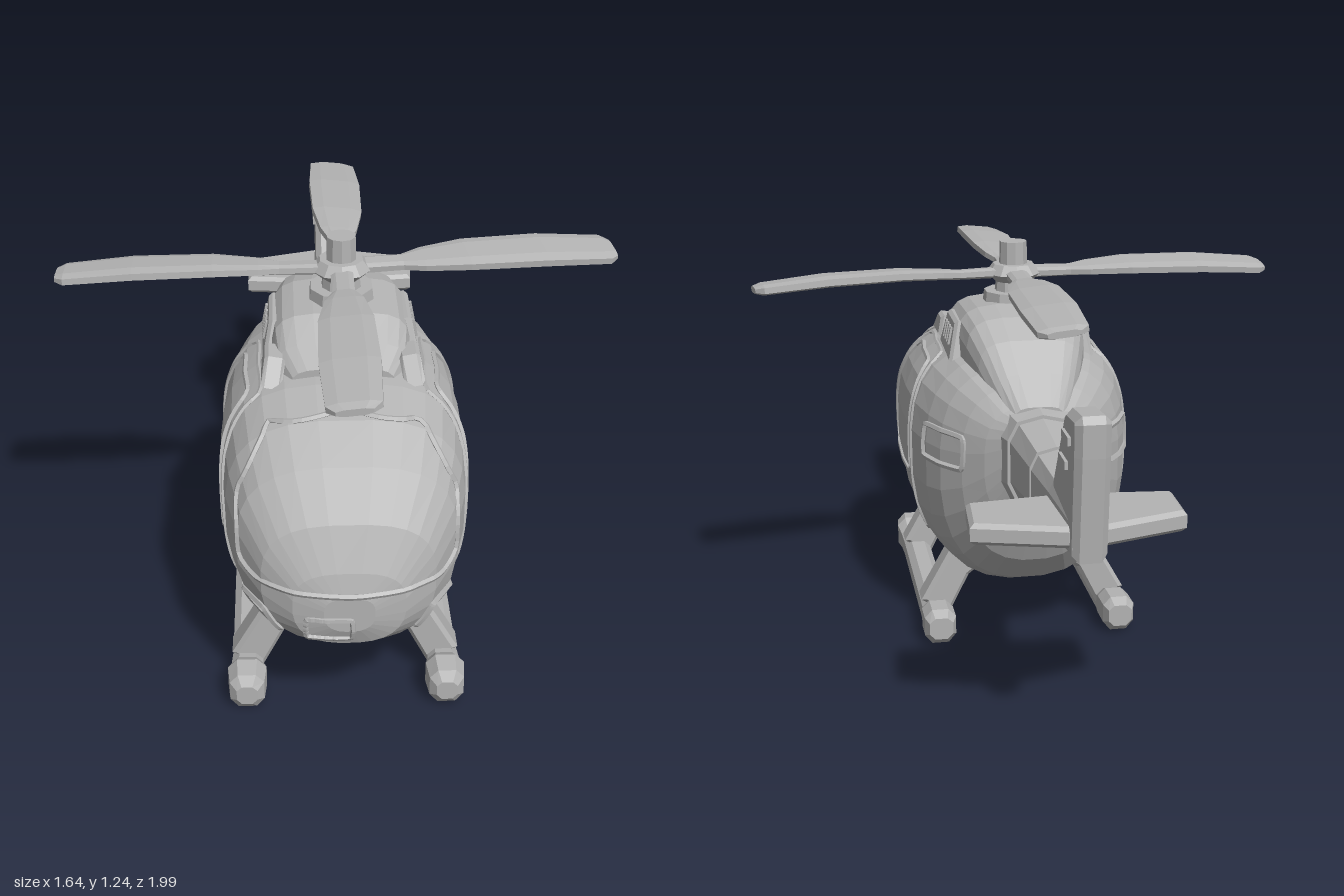
import * as THREE from 'three';

const grey = new THREE.MeshStandardMaterial({ color: 0xb4b4b4, flatShading: true });
grey.name = 'grey';

const N_UP = 2.9, N_LOW = 2.45;

// Closed loft along z. Each section: [z, bottom y, top y, half width], front to back.
function loft(sections, sides, nUp = N_UP, nLow = N_LOW) {
  const pos = [], idx = [];
  for (const [z, yb, yt, hw] of sections) {
    const ym = yb + (yt - yb) * 0.53;
    for (let j = 0; j < sides; j++) {
      const a = ((j + 0.5) / sides) * Math.PI * 2, c = Math.cos(a), s = Math.sin(a);
      const n = s > 0 ? nUp : nLow, h = s > 0 ? yt - ym : ym - yb;
      pos.push(hw * Math.sign(c) * Math.abs(c) ** (2 / n), ym + h * Math.sign(s) * Math.abs(s) ** (2 / n), z);
    }
  }
  const last = sections.length - 1, front = sections.length * sides;
  for (const k of [0, last]) {
    const [z, yb, yt] = sections[k];
    pos.push(0, (yb + yt) / 2, z);
  }
  for (let j = 0; j < sides; j++) {
    const k = (j + 1) % sides;
    for (let i = 0; i < last; i++) {
      const a = i * sides + j, b = i * sides + k;
      idx.push(a, a + sides, b, b, a + sides, b + sides);
    }
    idx.push(front, j, k, front + 1, last * sides + k, last * sides + j);
  }
  const g = new THREE.BufferGeometry();
  g.setAttribute('position', new THREE.Float32BufferAttribute(pos, 3));
  g.setIndex(idx);
  g.computeVertexNormals();
  return g;
}

// Flat outline with softened edges, centred on its thickness.
function slab(points, depth, bevel) {
  const g = new THREE.ExtrudeGeometry(new THREE.Shape(points.map(p => new THREE.Vector2(...p))), {
    depth: depth - 2 * bevel, bevelThickness: bevel, bevelSize: bevel, bevelOffset: -bevel, bevelSegments: 1,
  });
  return g.translate(0, 0, bevel - depth / 2);
}

const BODY = [
  [0.905, 0.39, 0.5, 0.07], [0.885, 0.335, 0.57, 0.155], [0.83, 0.295, 0.69, 0.24],
  [0.74, 0.265, 0.815, 0.305], [0.62, 0.235, 0.89, 0.338], [0.48, 0.207, 0.925, 0.355],
  [0.3, 0.18, 0.94, 0.358], [0.1, 0.167, 0.94, 0.347], [-0.02, 0.174, 0.93, 0.317],
  [-0.1, 0.21, 0.91, 0.282], [-0.18, 0.3, 0.87, 0.225], [-0.24, 0.43, 0.82, 0.165],
  [-0.28, 0.53, 0.8, 0.11],
];

// Half width of the body at a given z and height.
function bodyHalfWidth(z, y) {
  const i = BODY.findIndex((s, k) => k < BODY.length - 1 && z <= s[0] && z >= BODY[k + 1][0]);
  if (i < 0) return 0;
  const t = (BODY[i][0] - z) / (BODY[i][0] - BODY[i + 1][0]);
  const [, yb, yt, hw] = BODY[i].map((v, k) => v + (BODY[i + 1][k] - v) * t);
  const ym = yb + (yt - yb) * 0.53, up = y > ym, n = up ? N_UP : N_LOW;
  const r = Math.abs(y - ym) / (up ? yt - ym : ym - yb);
  return r >= 1 ? 0 : hw * (1 - r ** n) ** (1 / n);
}
const onSide = side => p => new THREE.Vector3(side * bodyHalfWidth(p.x, p.y), p.y, p.x);
function onFront(p) {
  let z = 0.905;
  while (z > 0.2 && bodyHalfWidth(z, p.y) < Math.abs(p.x)) z -= 0.002;
  return new THREE.Vector3(p.x, p.y, z);
}

// Raised trim following the body surface.
function trim(points, project, radius = 0.009) {
  const flat = new THREE.CatmullRomCurve3(points.map(p => new THREE.Vector3(p[0], p[1], 0)), true, 'catmullrom', 0.15);
  const path = new THREE.CatmullRomCurve3(flat.getSpacedPoints(64).slice(0, -1).map(project), true);
  return new THREE.TubeGeometry(path, 80, radius, 5, true);
}
const rect = (x, y, w, h) => [[x - w / 2, y - h / 2], [x + w / 2, y - h / 2], [x + w / 2, y + h / 2], [x - w / 2, y + h / 2]];

export function createModel() {
  const model = new THREE.Group();
  model.name = 'helicopter';
  const add = (name, geometry, x = 0, y = 0, z = 0, parent = model) => {
    const m = new THREE.Mesh(geometry, grey);
    m.name = name;
    m.position.set(x, y, z);
    parent.add(m);
    return m;
  };

  // Cabin and engine hood
  add('cabin', loft(BODY, 28));
  add('engineHood', loft([
    [0.44, 0.78, 0.95, 0.15], [0.37, 0.76, 0.995, 0.19], [0.29, 0.74, 1.05, 0.2], [0.08, 0.74, 1.06, 0.2],
    [-0.02, 0.72, 1.04, 0.185], [-0.1, 0.7, 0.985, 0.16], [-0.18, 0.65, 0.9, 0.125], [-0.26, 0.58, 0.82, 0.085],
  ], 20, 4));

  // Windscreen and nose lamps
  add('windscreenFrame', trim([[-0.21, 0.87], [0, 0.9], [0.21, 0.87], [0.3, 0.72], [0.3, 0.55], [0.26, 0.515],
    [0, 0.505], [-0.26, 0.515], [-0.3, 0.55], [-0.3, 0.72]], onFront));
  add('noseVent', trim(rect(-0.055, 0.395, 0.12, 0.065), onFront));

  for (const s of [-1, 1]) {
    // Headlights, doors and side vents
    add('headlight', trim(rect(0.78, 0.385, 0.095, 0.07), onSide(s), 0.011));
    add('doorWindowFrame', trim([[0.435, 0.85], [0.4, 0.868], [0.18, 0.86], [0.145, 0.755], [0.14, 0.525],
      [0.17, 0.5], [0.53, 0.5], [0.555, 0.525], [0.52, 0.67]], onSide(s)));
    add('doorSeam', trim([[0.46, 0.885], [0.15, 0.89], [0.115, 0.74], [0.11, 0.4], [0.13, 0.31],
      [0.55, 0.31], [0.62, 0.42], [0.585, 0.6]], onSide(s), 0.007));
    add('sideVent', trim(rect(-0.093, 0.66, 0.17, 0.1), onSide(s), 0.01));

    // Engine intakes with louvres
    const side = new THREE.Group();
    side.name = 'engineIntake';
    side.position.set(s * 0.195, 0.94, 0);
    side.rotation.z = s * 0.2;
    model.add(side);
    add('louvrePanel', slab([[-0.3, -0.06], [-0.04, -0.06], [-0.07, 0.07], [-0.25, 0.07]], 0.05, 0.01), 0, 0, 0, side).rotation.y = Math.PI / 2;
    for (let i = 0; i < 4; i++) add('louvre', new THREE.BoxGeometry(0.01, 0.055, 0.014), s * 0.027, 0.015, 0.1 + i * 0.037, side);
    add('intakePod', slab([[-0.46, -0.04], [-0.31, -0.04], [-0.32, 0.03], [-0.4, 0.03]], 0.06, 0.01), 0, 0, 0, side).rotation.y = Math.PI / 2;

    // Landing gear
    add('skid', loft([
      [0.785, 0.035, 0.1, 0.032], [0.765, 0.008, 0.13, 0.053], [0.7, 0, 0.135, 0.06], [0.66, 0.004, 0.11, 0.05],
      [0.6, 0.004, 0.1, 0.046], [0.02, 0.004, 0.1, 0.046], [-0.03, 0.004, 0.122, 0.053],
      [-0.11, 0.004, 0.125, 0.053], [-0.14, 0.03, 0.105, 0.04],
    ], 8, 2.7, 2.7), s * 0.29);
    const leg = [[0.08, 0.24], [0.13, 0.22], [0.18, 0.18], [0.245, 0.05], [0.335, 0.1], [0.24, 0.27], [0.2, 0.3], [0.08, 0.28]];
    const mirrored = s > 0 ? leg : leg.map(([x, y]) => [-x, y]).reverse();
    for (const z of [0.59, 0.06]) add('skidStrut', slab(mirrored, 0.095, 0.012), 0, 0, z);
  }

  // Tail boom in three stepped lengths
  add('boomCollar', loft([[-0.24, 0.5, 0.82, 0.13], [-0.315, 0.52, 0.812, 0.11]], 10, 3, 3));
  add('boomFront', loft([[-0.3, 0.53, 0.803, 0.103], [-0.52, 0.556, 0.78, 0.08]], 10, 3, 3));
  add('boomJoint', loft([[-0.5, 0.57, 0.765, 0.07], [-0.55, 0.57, 0.765, 0.068]], 10, 3, 3));
  add('boomRear', loft([[-0.53, 0.55, 0.775, 0.077], [-0.7, 0.572, 0.76, 0.06], [-0.96, 0.607, 0.745, 0.047]], 10, 3, 3));

  // Tail fin with ribs, and stabiliser
  add('tailFin', slab([[0.69, 0.74], [0.845, 0.985], [0.87, 1.0], [0.985, 1.01], [0.998, 0.99], [0.995, 0.9],
    [0.972, 0.61], [0.8, 0.62]], 0.095, 0.018)).rotation.y = Math.PI / 2;
  for (const s of [-1, 1]) {
    for (const [y, z] of [[0.93, -0.895], [0.855, -0.86]]) add('finRib', new THREE.BoxGeometry(0.016, 0.022, 0.085), s * 0.048, y, z);
  }
  add('stabiliser', slab([[-0.04, 0.67], [0.04, 0.67], [0.285, 0.695], [0.297, 0.865], [0.05, 0.935], [-0.05, 0.935],
    [-0.285, 0.865], [-0.29, 0.695]], 0.06, 0.012), 0, 0.667, 0).rotation.x = -Math.PI / 2;

  // Rotor mast and blades
  const rotor = new THREE.Group();
  rotor.name = 'rotor';
  rotor.position.set(0.005, 0, 0.175);
  model.add(rotor);
  const drum = (name, rTop, rBottom, y0, y1) =>
    add(name, new THREE.CylinderGeometry(rTop, rBottom, y1 - y0, 10), 0, (y0 + y1) / 2, 0, rotor);
  drum('mastCollar', 0.094, 0.1, 1.03, 1.085);
  drum('mastNeck', 0.055, 0.06, 1.08, 1.125);
  drum('hubLower', 0.087, 0.06, 1.115, 1.14);
  drum('hubUpper', 0.065, 0.087, 1.14, 1.17);
  drum('mastCap', 0.043, 0.045, 1.16, 1.24);
  const blade = loft([
    [0.82, -0.018, 0.002, 0.05], [0.795, -0.024, 0.01, 0.075], [0.6, -0.012, 0.026, 0.085], [0.37, -0.008, 0.028, 0.08],
    [0.24, -0.012, 0.02, 0.058], [0.18, -0.016, 0.014, 0.034], [0.05, -0.018, 0.016, 0.034],
  ], 8, 3, 3);
  for (const angle of [0, 1.7, Math.PI, -1.56]) {
    const m = add('rotorBlade', blade, 0, 1.143, 0, rotor);
    m.rotation.set(0, angle, 0.1, 'YXZ');
  }
  return model;
}
